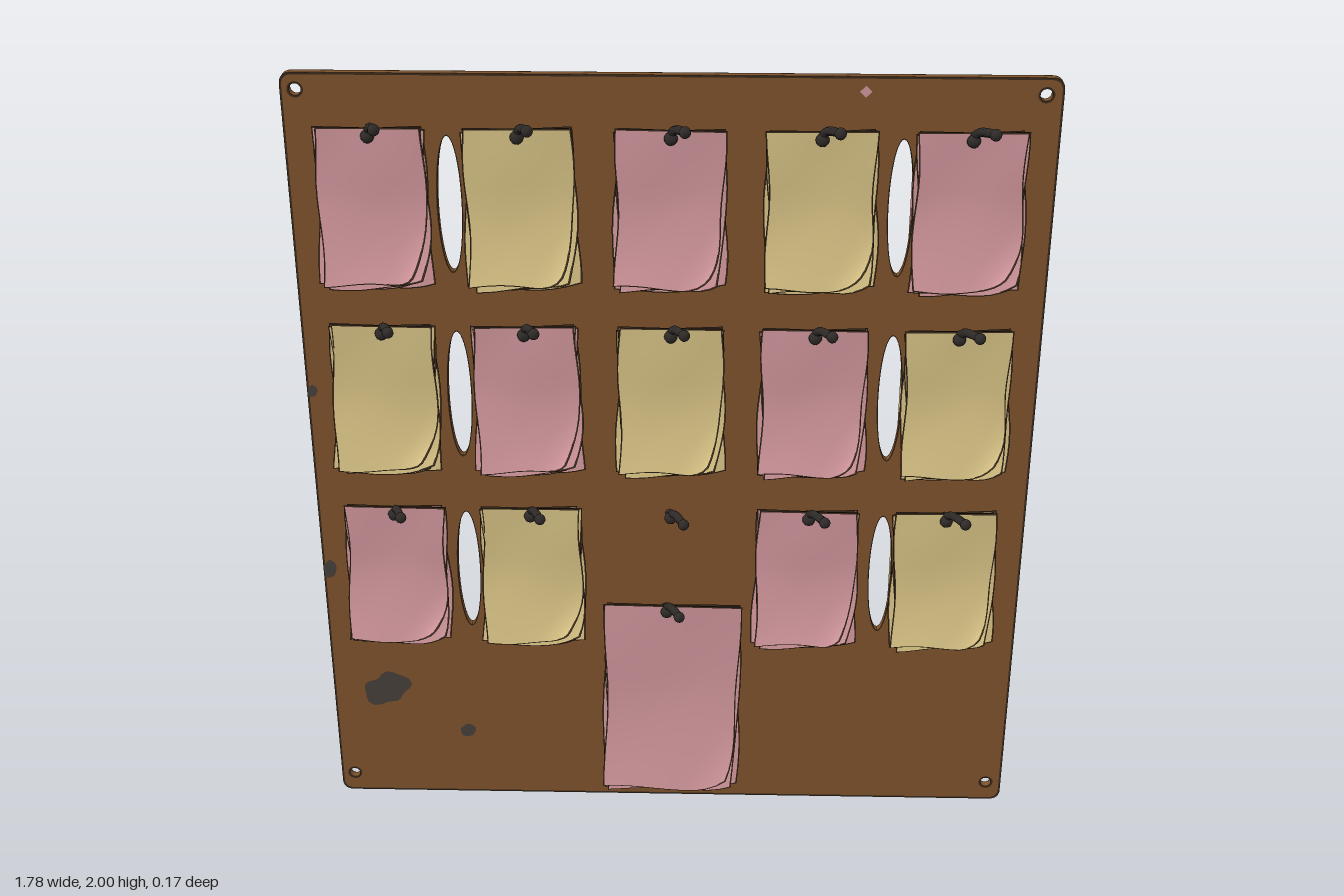
import * as THREE from 'three';

const mat = (name, color, side = THREE.DoubleSide) => {
  const m = new THREE.MeshStandardMaterial({ color, side });
  m.name = name;
  return m;
};

export function createModel() {
  const root = new THREE.Group();
  root.name = 'noticeBoard';
  const brown = mat('boardBrown', 0x7d522b);
  const pink = mat('pinkPaper', 0xd0969c);
  const yellow = mat('yellowPaper', 0xd6c184);
  const ink = mat('inkLine', 0x3a2a1c);
  const iron = mat('hookIron', 0x2e2a28);
  const stain = mat('stainGrey', 0x453f39);
  const FRONT = -0.066, BACK = -0.085;

  const add = (parent, name, geo, material) => {
    const m = new THREE.Mesh(geo, material);
    m.name = name;
    parent.add(m);
    return m;
  };

  const roundedRect = (x0, y0, x1, y1, r, target = new THREE.Shape()) => {
    target.moveTo(x0 + r, y0);
    target.lineTo(x1 - r, y0);
    target.quadraticCurveTo(x1, y0, x1, y0 + r);
    target.lineTo(x1, y1 - r);
    target.quadraticCurveTo(x1, y1, x1 - r, y1);
    target.lineTo(x0 + r, y1);
    target.quadraticCurveTo(x0, y1, x0, y1 - r);
    target.lineTo(x0, y0 + r);
    target.quadraticCurveTo(x0, y0, x0 + r, y0);
    return target;
  };
  const ellipsePath = (x, y, rx, ry) => new THREE.Path().absellipse(x, y, rx, ry, 0, Math.PI * 2, true);

  // Board with corner holes and six tall slots
  const screwHoles = [[-0.855, 1.96], [0.85, 1.96], [-0.855, 0.055], [0.85, 0.055]];
  const slots = [];
  for (const x of [-0.515, 0.535]) for (const y of [1.685, 1.195, 0.7]) slots.push([x, y]);
  const boardShape = roundedRect(-0.89, 0, 0.89, 2, 0.03);
  screwHoles.forEach(([x, y]) => boardShape.holes.push(ellipsePath(x, y, 0.014, 0.014)));
  slots.forEach(([x, y]) => boardShape.holes.push(ellipsePath(x, y, 0.028, 0.168)));
  const boardGeo = new THREE.ExtrudeGeometry(boardShape, { depth: FRONT - BACK, bevelEnabled: false, curveSegments: 20 });
  add(root, 'board', boardGeo.translate(0, 0, BACK), brown);

  // Thin dark outlines around the board, holes and slots, on both faces
  const border = roundedRect(-0.89, 0, 0.89, 2, 0.03);
  border.holes.push(roundedRect(-0.885, 0.005, 0.885, 1.995, 0.027, new THREE.Path()));
  const ring = (x, y, rx, ry, t) => {
    const s = new THREE.Shape().absellipse(x, y, rx + t, ry + t, 0, Math.PI * 2);
    s.holes.push(ellipsePath(x, y, rx, ry));
    return s;
  };
  const outlines = [border,
    ...screwHoles.map(([x, y]) => ring(x, y, 0.014, 0.014, 0.005)),
    ...slots.map(([x, y]) => ring(x, y, 0.028, 0.168, 0.003))];
  for (const z of [FRONT + 0.001, BACK - 0.0008])
    add(root, 'outline', new THREE.ShapeGeometry(outlines, 20).translate(0, 0, z), ink);

  // Stains, mirrored on the back
  const blob = (x, y, rx, ry, wobble) => {
    const pts = [];
    for (let i = 0; i < 24; i++) {
      const a = i / 24 * Math.PI * 2;
      const r = 1 + wobble * (Math.sin(2 * a + 0.2) + 0.5 * Math.sin(5 * a));
      pts.push(new THREE.Vector2(x + Math.cos(a) * rx * r, y + Math.sin(a) * ry * r));
    }
    return new THREE.Shape(pts);
  };
  const stains = [blob(-0.75, 0.33, 0.057, 0.05, 0.2), blob(-0.54, 0.2, 0.02, 0.02, 0.08),
    blob(-0.877, 1.2, 0.012, 0.016, 0.1), blob(-0.873, 0.695, 0.016, 0.026, 0.08)];
  add(root, 'stain', new THREE.ShapeGeometry(stains).translate(0, 0, FRONT + 0.002), stain);
  add(root, 'backStain', new THREE.ShapeGeometry(stains).rotateY(Math.PI).translate(0, 0, BACK - 0.0015), stain);
  add(root, 'paintChip', new THREE.CircleGeometry(0.014, 4).translate(0.443, 1.965, FRONT + 0.002), pink);

  // One sheet hanging from its top edge; the bottom flares out and one corner folds in
  const sheet = (w, h, curl, fold, seed) => {
    const g = new THREE.PlaneGeometry(w, h, 10, 14).translate(0, -h / 2, 0);
    const p = g.attributes.position;
    for (let i = 0; i < p.count; i++) {
      const x = p.getX(i), y = p.getY(i);
      const u = x / w + 0.5, v = -y / h;
      const flare = Math.pow(Math.max(0, (v - 0.4) / 0.6), 1.8);
      const corner = Math.max(0, u + v - 1.6) / 0.4;
      const wave = 0.004 * Math.sin(5 * u + seed) * Math.sin(6 * v);
      const edge = 0.005 * Math.sin(v * 7 + seed) * (2 * u - 1);
      p.setXYZ(i,
        x + edge - fold * 0.03 * corner * corner,
        y + 0.005 * Math.sin(u * 6 + seed) * v + fold * 0.03 * corner * corner,
        curl * flare + wave * 0.6 + fold * 0.008 * corner);
    }
    g.computeVertexNormals();
    return g;
  };

  // Pad: three fanned sheets, each with a thin dark edge behind it
  const pad = (cx, top, w, h, paper, seed) => {
    const group = new THREE.Group();
    group.name = 'paperPad';
    const tilt = 0.015 * Math.sin(seed * 2.3);
    const layers = [[-0.056, 0.014, 0.05, 0.2, 0.012], [-0.050, 0.028, -0.02, 0.5, 0.006],
      [-0.046, 0.032, 0.025, 0.6, 0.006], [-0.041, 0.036, 0, 1, 0]];
    layers.forEach(([z, curl, turn, fold, drop], k) => {
      const s = seed + k * 1.7;
      const a = tilt + turn * (w > 0.3 ? 0.5 : 1);
      const place = (m, dz, dy) => {
        m.position.set(cx + (k === 0 ? -0.004 : 0), top - drop * 0.5 + dy, z + dz);
        m.rotation.z = a;
      };
      place(add(group, 'sheet', sheet(w, h + drop, curl, fold, s), paper), 0, 0);
      place(add(group, 'sheetEdge', sheet(w + 0.007, h + drop + 0.007, curl, fold, s), ink), -0.0022, 0.0035);
    });
    root.add(group);
  };

  // Hook: bent peg with a rounded tip
  const hook = (x, y, rise) => {
    const group = new THREE.Group();
    group.name = 'hook';
    const curve = new THREE.CatmullRomCurve3([
      [-0.006, 0, -0.075], [0, 0.2, -0.05], [0.008, 0.55, -0.02], [0.02, 0.8, 0.02], [0.034, 1, 0.07],
    ].map(([px, py, pz]) => new THREE.Vector3(x + px, y + py * rise, pz)));
    add(group, 'peg', new THREE.TubeGeometry(curve, 14, 0.0105, 8), iron);
    add(group, 'pegTip', new THREE.SphereGeometry(0.014, 10, 8).translate(x + 0.034, y + rise, 0.07), iron);
    add(group, 'pegCollar', new THREE.SphereGeometry(0.016, 10, 8).translate(x, y + 0.005, -0.036), iron);
    root.add(group);
  };

  // Flat paper panel and peg end on the rear face (x as seen from behind)
  const backPanel = (x, y0, y1, w, paper) => {
    const s = roundedRect(x - w / 2, y0, x + w / 2, y1, 0.035);
    add(root, 'backPanel', new THREE.ShapeGeometry(s).rotateY(Math.PI).translate(0, 0, BACK - 0.001), paper);
    add(root, 'pegEnd', new THREE.CircleGeometry(0.014, 10).rotateY(Math.PI).translate(-x, y1 - 0.008, BACK - 0.002), iron);
  };

  // Grid of pads: p pink, y yellow, - bare hook
  const columns = [-0.692, -0.35, 0.002, 0.347, 0.69];
  const backColumns = [-0.692, -0.36, -0.005, 0.342, 0.685];
  const rows = [[1.875, 'pypyp', 'pypyp'], [1.383, 'ypypy', 'ypypy'], [0.888, 'py-py', 'yy-py']];
  const papers = { p: pink, y: yellow };
  rows.forEach(([top, front, back], r) => columns.forEach((x, c) => {
    const bare = front[c] === '-';
    hook(x, top - 0.02, bare ? 0.045 : 0.055);
    if (bare) return;
    pad(x, top, 0.243, 0.37, papers[front[c]], r * 5 + c);
    backPanel(backColumns[c], top - 0.42, top - 0.02, 0.265, papers[back[c]]);
  }));

  // Large pad at the bottom centre
  pad(0.008, 0.608, 0.34, 0.545, pink, 21);
  hook(-0.008, 0.592, 0.055);
  backPanel(0, 0.04, 0.585, 0.36, pink);

  return root;
}
